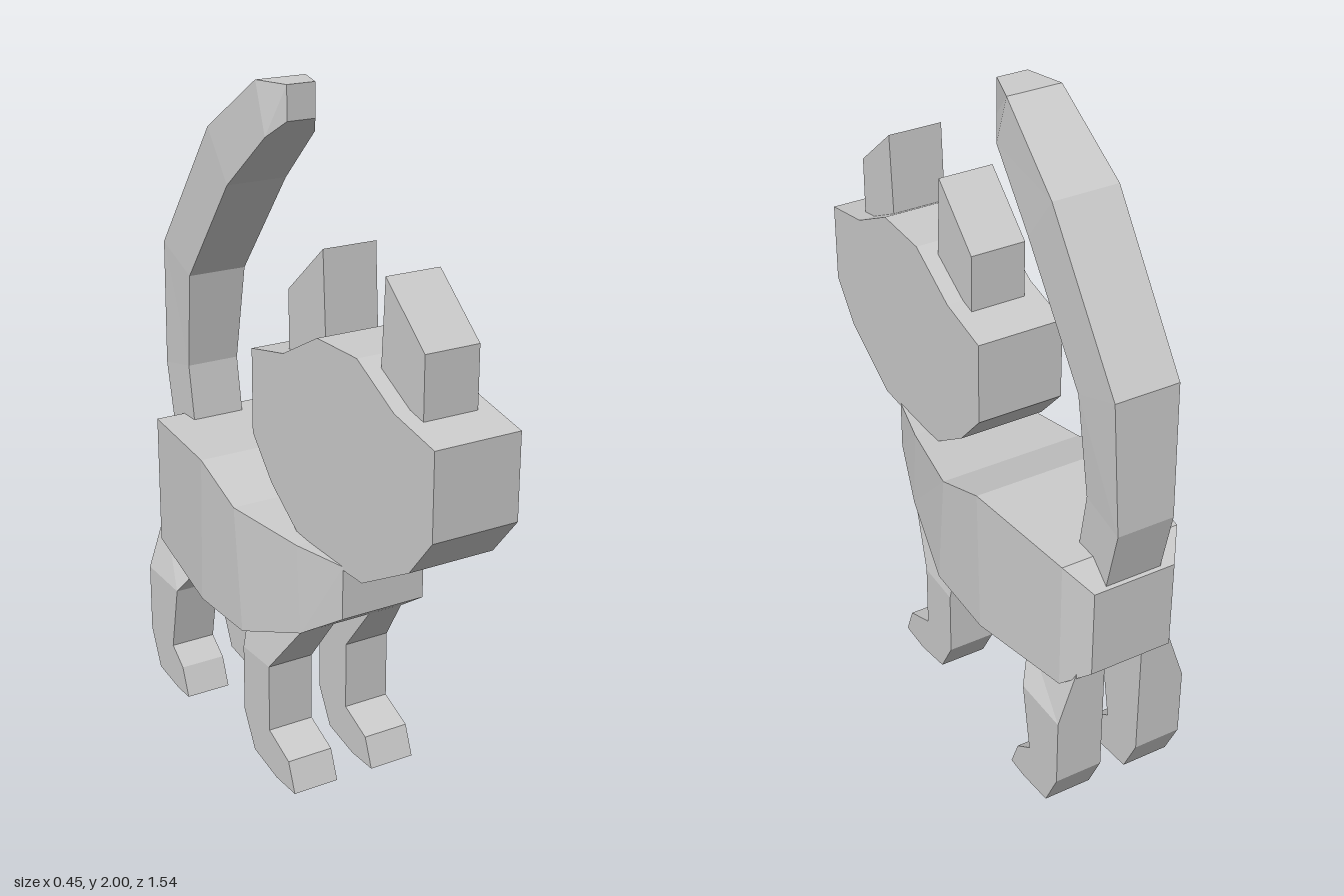
import * as THREE from 'three';

const material = new THREE.MeshStandardMaterial({ color: 0xcccccc, flatShading: true });

function addMesh(parent, name, geometry) {
  const mesh = new THREE.Mesh(geometry, material);
  mesh.name = name;
  parent.add(mesh);
  return mesh;
}

// Side profile of [z, y] points, extruded across x from -halfWidth to halfWidth.
function slab(points, halfWidth) {
  const shape = new THREE.Shape(points.map(([z, y]) => new THREE.Vector2(z, y)));
  const geometry = new THREE.ExtrudeGeometry(shape, { depth: halfWidth * 2, bevelEnabled: false });
  return geometry.translate(0, 0, -halfWidth).rotateY(-Math.PI / 2);
}

// Box-shaped loft through sections [zA, yA, zB, yB, xMin, xMax].
// Edge A is the top when running backwards, or the front when running upwards.
function loft(sections) {
  const positions = [];
  const rings = sections.map(([za, ya, zb, yb, x0, x1]) =>
    [[x1, ya, za], [x0, ya, za], [x0, yb, zb], [x1, yb, zb]]);
  const quad = (a, b, c, d) => positions.push(...a, ...b, ...c, ...a, ...c, ...d);
  for (let i = 0; i < rings.length - 1; i++) {
    const p = rings[i], q = rings[i + 1];
    for (let k = 0; k < 4; k++) {
      const n = (k + 1) % 4;
      quad(p[k], q[k], q[n], p[n]);
    }
  }
  quad(...rings[0]);
  quad(...rings[rings.length - 1].slice().reverse());
  const geometry = new THREE.BufferGeometry();
  geometry.setAttribute('position', new THREE.Float32BufferAttribute(positions, 3));
  geometry.computeVertexNormals();
  return geometry;
}

// Adds a symmetric width to each [zA, yA, zB, yB, halfWidth].
const centred = (sections) => sections.map(([a, b, c, d, w]) => [a, b, c, d, -w, w]);

export function createModel() {
  const cat = new THREE.Group();
  cat.name = 'cat';

  // Head: a flat-sided slab
  const head = new THREE.Group();
  head.name = 'head';
  cat.add(head);
  addMesh(head, 'skull', slab([
    [0.77, 1.25], [0.59, 1.29], [0.415, 1.385], [0.22, 1.385], [0.04, 1.29], [-0.135, 1.255],
    [-0.135, 1.0], [-0.03, 0.88], [0.14, 0.76], [0.45, 0.76], [0.67, 0.88], [0.77, 1.0],
  ], 0.133));

  // Ears: one towards each end of the head, mirrored about its middle
  const headMiddle = 0.32;
  const ear = [[0.33, 1.25], [0.33, 1.455], [0.15, 1.61], [0.135, 1.35]];
  for (const [name, s] of [['frontEar', 1], ['backEar', -1]]) {
    addMesh(head, name, slab(ear.map(([z, y]) => [headMiddle + s * z, y]), 0.084));
  }

  // Body: chest to rump
  addMesh(cat, 'body', loft(centred([
    [0.355, 0.77, 0.355, 0.61, 0.133],
    [0.18, 0.775, 0.2, 0.51, 0.175],
    [-0.09, 0.8, -0.05, 0.42, 0.225],
    [-0.285, 0.88, -0.3, 0.42, 0.225],
    [-0.66, 0.88, -0.66, 0.47, 0.18],
    [-0.735, 0.82, -0.735, 0.54, 0.125],
  ])));

  // Tail: rises from the rump and curls forward
  addMesh(cat, 'tail', loft(centred([
    [-0.57, 0.75, -0.71, 0.75, 0.085],
    [-0.62, 1.05, -0.77, 1.02, 0.085],
    [-0.58, 1.35, -0.745, 1.42, 0.095],
    [-0.33, 1.68, -0.44, 1.83, 0.097],
    [-0.14, 1.85, -0.19, 2.0, 0.08],
    [-0.08, 1.9, -0.08, 2.0, 0.045],
  ])));

  // Legs: from paw up, [zFront, yFront, zBack, yBack, outer x]
  const legs = {
    FrontLeg: [
      [0.215, 0, 0.11, 0, 0.205],
      [0.18, 0.09, -0.02, 0.03, 0.205],
      [0.07, 0.14, -0.08, 0.14, 0.205],
      [0.07, 0.35, -0.08, 0.35, 0.205],
      [0.2, 0.515, -0.085, 0.53, 0.17],
    ],
    BackLeg: [
      [-0.45, 0, -0.52, 0, 0.205],
      [-0.485, 0.09, -0.645, 0.02, 0.205],
      [-0.55, 0.14, -0.7, 0.14, 0.205],
      [-0.51, 0.35, -0.7, 0.36, 0.205],
      [-0.44, 0.46, -0.7, 0.54, 0.145],
    ],
  };
  const inner = 0.06;
  for (const [name, sections] of Object.entries(legs)) {
    for (const [side, s] of [['left', 1], ['right', -1]]) {
      addMesh(cat, side + name, loft(sections.map(([a, b, c, d, outer]) =>
        s > 0 ? [a, b, c, d, inner, outer] : [a, b, c, d, -outer, -inner])));
    }
  }
  return cat;
}
